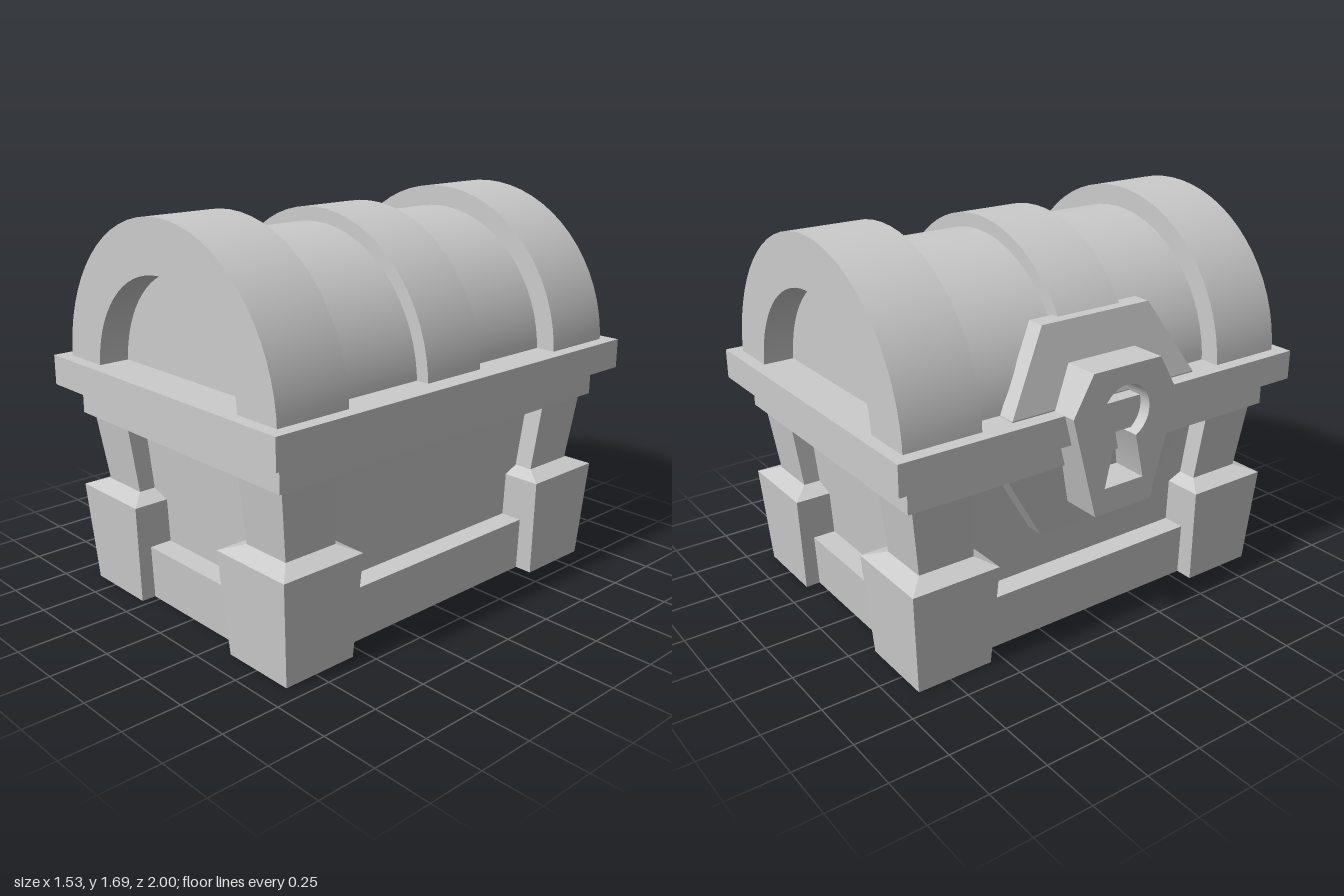
import * as THREE from 'three';
import { toCreasedNormals } from 'three/addons/utils/BufferGeometryUtils.js';

const material = new THREE.MeshStandardMaterial({ color: 0xcccccc });

function add(parent, name, geometry) {
  const mesh = new THREE.Mesh(geometry, material);
  mesh.name = name;
  parent.add(mesh);
  return mesh;
}

// Closed flat-faced solid through stacked rectangles [y, x0, x1, z0, z1], bottom to top
function loft(rows) {
  const rings = rows.map(([y, x0, x1, z0, z1]) =>
    [[x0, y, z1], [x1, y, z1], [x1, y, z0], [x0, y, z0]]);
  const pos = [];
  const quad = (a, b, c, d) => pos.push(...a, ...b, ...c, ...a, ...c, ...d);
  for (let r = 0; r < rings.length - 1; r++) {
    for (let i = 0; i < 4; i++) {
      const j = (i + 1) % 4;
      quad(rings[r][i], rings[r][j], rings[r + 1][j], rings[r + 1][i]);
    }
  }
  const top = rings[rings.length - 1], bottom = rings[0];
  quad(...top);
  quad(bottom[3], bottom[2], bottom[1], bottom[0]);
  const g = new THREE.BufferGeometry();
  g.setAttribute('position', new THREE.Float32BufferAttribute(pos, 3));
  g.computeVertexNormals();
  return g;
}

// Rows symmetric about both axes: [y, halfX, halfZ]
const centredLoft = rows => loft(rows.map(([y, x, z]) => [y, -x, x, -z, z]));

// Half-round solid along z, hollow when inner > 0
function arch(outer, inner, z0, z1) {
  const s = new THREE.Shape();
  s.absarc(0, 0, outer, 0, Math.PI, false);
  if (inner > 0) s.absarc(0, 0, inner, Math.PI, 0, true);
  s.closePath();
  const g = new THREE.ExtrudeGeometry(s, { depth: z1 - z0, bevelEnabled: false, curveSegments: 16 });
  g.translate(0, 1.01, z0);
  return toCreasedNormals(g, 0.6);
}

export function createModel() {
  const root = new THREE.Group();
  root.name = 'chest';
  const chest = new THREE.Group();
  chest.name = 'chestBody';
  chest.position.x = 0.025;
  root.add(chest);

  // Box: plinth, flared walls and two-step rim
  add(chest, 'plinth', centredLoft([[0, 0.57, 0.83], [0.245, 0.59, 0.85]]));
  add(chest, 'walls', centredLoft([[0.2, 0.485, 0.745], [0.8, 0.54, 0.8]]));
  add(chest, 'lowerRim', centredLoft([[0.78, 0.6575, 0.92], [0.905, 0.6575, 0.92]]));
  add(chest, 'upperRim', centredLoft([[0.905, 0.7375, 1], [1.035, 0.7375, 1]]));

  // Corner legs: tapered foot, sloped cap, flared post; [y, inner x, outer x, inner z, outer z]
  const legRows = [
    [0, 0.31, 0.65, 0.555, 0.895],
    [0.445, 0.28, 0.68, 0.53, 0.925],
    [0.475, 0.365, 0.595, 0.595, 0.845],
    [0.79, 0.375, 0.627, 0.62, 0.886],
  ];
  for (const sx of [-1, 1]) for (const sz of [-1, 1]) {
    const rows = legRows.map(([y, xi, xo, zi, zo]) => [
      y,
      ...(sx > 0 ? [xi, xo] : [-xo, -xi]),
      ...(sz > 0 ? [zi, zo] : [-zo, -zi]),
    ]);
    add(chest, 'cornerLeg', loft(rows));
  }

  // Lid: barrel, centre band and hollow end arches
  add(chest, 'lidBarrel', arch(0.59, 0, -0.81, 0.81));
  add(chest, 'lidCentreBand', arch(0.65, 0, -0.155, 0.155));
  add(chest, 'lidEndArch', arch(0.68, 0.46, 0.605, 0.945));
  add(chest, 'lidEndArch', arch(0.68, 0.46, -0.945, -0.605));

  // Lock backing plate, folded over the rim; [y, front x, half width]
  const plate = [[0.47, -0.6, 0.27], [0.78, -0.64, 0.465], [1.04, -0.675, 0.465], [1.36, -0.595, 0.27]];
  add(chest, 'lockPlate', loft(plate.map(([y, x, w]) => [y, x, x + 0.08, -w, w])));

  // Lock block with keyhole
  const outline = new THREE.Shape([
    [-0.145, 0.59], [0.145, 0.59], [0.265, 1.035], [0.17, 1.2], [-0.17, 1.2], [-0.265, 1.035],
  ].map(p => new THREE.Vector2(...p)));
  const keyhole = new THREE.Path();
  keyhole.moveTo(-0.1, 0.7);
  keyhole.lineTo(0.1, 0.7);
  keyhole.lineTo(0.055, 0.893);
  keyhole.absarc(0, 1, 0.12, -1.096, Math.PI + 1.096, false);
  keyhole.closePath();
  outline.holes.push(keyhole);
  const block = new THREE.ExtrudeGeometry(outline, { depth: 0.195, bevelEnabled: false, curveSegments: 14 });
  block.rotateY(-Math.PI / 2);
  block.translate(-0.595, 0, 0);
  add(chest, 'lockBlock', toCreasedNormals(block, 0.5));

  return root;
}
